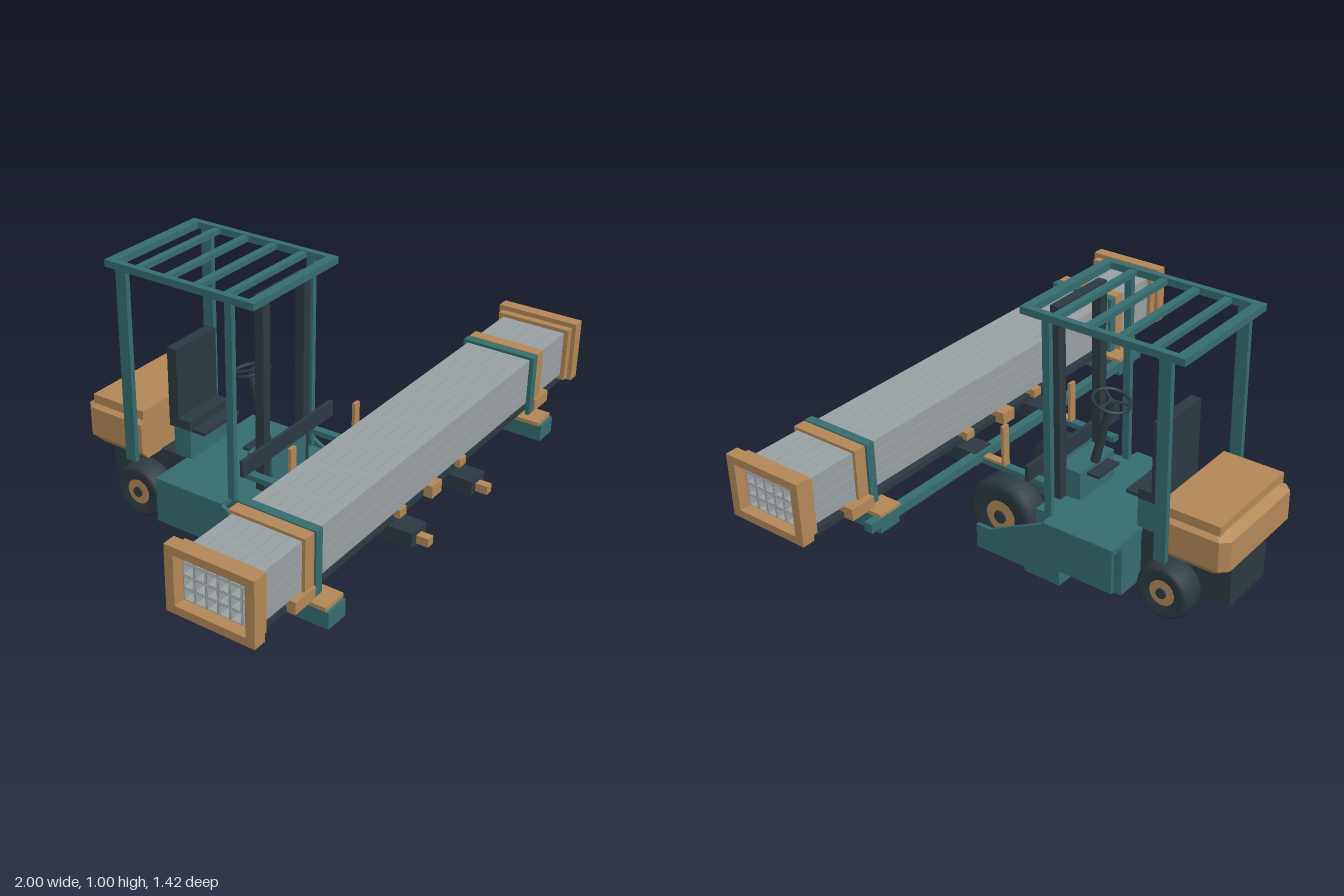
import * as THREE from 'three';
import { ConvexGeometry } from 'three/addons/geometries/ConvexGeometry.js';

const mat = (name, color) => Object.assign(new THREE.MeshStandardMaterial({ color }), { name });

export function createModel() {
  const teal = mat('tealPaint', 0x366d6f);
  const dark = mat('darkMetal', 0x2c3a41);
  const wood = mat('ochre', 0xb38858);
  const steel = mat('tubeGrey', 0x9aa1a2);
  const root = new THREE.Group();
  root.name = 'forkliftWithTubeBundle';

  const add = (name, geo, material, parent = root) => {
    const m = new THREE.Mesh(geo, material);
    m.name = name;
    parent.add(m);
    return m;
  };
  // box given by its extents on each axis
  const box = (name, material, x0, x1, y0, y1, z0, z1, parent = root) => {
    const m = add(name, new THREE.BoxGeometry(x1 - x0, y1 - y0, z1 - z0), material, parent);
    m.position.set((x0 + x1) / 2, (y0 + y1) / 2, (z0 + z1) / 2);
    return m;
  };
  // same box on both sides of the model
  const pair = (name, material, x0, x1, ...rest) => {
    box(name + 'Left', material, x0, x1, ...rest);
    box(name + 'Right', material, -x1, -x0, ...rest);
  };
  const rect = (C, w, h) => {
    const p = new C();
    p.moveTo(-w / 2, -h / 2);
    p.lineTo(w / 2, -h / 2);
    p.lineTo(w / 2, h / 2);
    p.lineTo(-w / 2, h / 2);
    p.closePath();
    return p;
  };
  // (z, y) outline extruded along x, centred
  const extrudeX = (shape, width) =>
    new THREE.ExtrudeGeometry(shape, { depth: width, bevelEnabled: false })
      .rotateY(-Math.PI / 2).translate(width / 2, 0, 0);
  // rectangular ring or tube running along x
  const ring = (w, h, iw, ih, length) => {
    const s = rect(THREE.Shape, w, h);
    s.holes.push(rect(THREE.Path, iw, ih));
    return extrudeX(s, length);
  };

  // wheels
  const wheel = (name, side, z, r, rim, width) => {
    const g = new THREE.Group();
    g.name = name;
    const h = width / 2;
    const profile = [[rim, -h + 0.008], [r * 0.8, -h], [r * 0.93, -h + 0.006], [r, -h + 0.022],
      [r, h - 0.022], [r * 0.93, h - 0.006], [r * 0.8, h], [rim, h - 0.008]]
      .map(([a, b]) => new THREE.Vector2(a, b));
    add('tyre', new THREE.LatheGeometry(profile, 32), dark, g);
    add('rim', new THREE.CylinderGeometry(rim, rim, width - 0.014, 24), wood, g);
    add('hub', new THREE.CylinderGeometry(rim * 0.4, rim * 0.4, width, 16), dark, g);
    g.rotation.z = -Math.PI / 2;
    g.position.set(side * 0.168, r + 0.004, z);
    root.add(g);
  };
  for (const s of [1, -1]) {
    wheel('frontWheel', s, 0.195, 0.142, 0.062, 0.11);
    wheel('rearWheel', s, -0.475, 0.104, 0.048, 0.1);
  }

  // body, fender plates and chassis
  const side = new THREE.Shape([[0.25, 0.037], [0.25, 0.13], [0.19, 0.13], [-0.05, 0.25],
    [-0.325, 0.25], [-0.325, 0.08], [-0.11, 0.08], [-0.11, 0.037]]
    .map(([a, b]) => new THREE.Vector2(a, b)));
  for (const s of [1, -1]) add('fenderPlate', extrudeX(side, 0.014), teal).position.x = s * 0.276;
  box('deck', teal, -0.282, 0.282, 0.232, 0.252, -0.328, -0.04);
  box('centreBody', teal, -0.225, 0.225, 0.04, 0.25, -0.325, 0.03);
  pair('lowerStep', teal, 0.2, 0.282, 0.02, 0.055, -0.11, 0.04);
  box('bellyPan', teal, -0.2, 0.2, 0.017, 0.04, -0.055, 0.04);
  box('frontHull', dark, -0.1, 0.1, 0.018, 0.215, 0.02, 0.24);
  box('frontAxle', dark, -0.16, 0.16, 0.12, 0.17, 0.17, 0.22);
  box('rearChassis', dark, -0.11, 0.11, 0.08, 0.25, -0.675, -0.32);
  box('rearAxle', dark, -0.16, 0.16, 0.09, 0.13, -0.5, -0.45);
  box('dashCowl', teal, -0.1, 0.1, 0.25, 0.36, -0.065, 0.03);

  // counterweight, chamfered at the back and sides
  const points = [];
  for (const [y, inset] of [[0.245, 0.03], [0.28, 0], [0.39, 0], [0.412, 0.03]])
    for (const s of [1, -1])
      for (const [x, z] of [[0.213 - inset, -0.445], [0.213 - inset, -0.68 + inset], [0.185 - inset, -0.71 + inset]])
        points.push(new THREE.Vector3(s * x, y, z));
  add('counterweight', new ConvexGeometry(points), wood);
  box('counterweightCap', wood, -0.2, 0.2, 0.405, 0.44, -0.675, -0.445);

  // seat
  box('seatPedestal', teal, -0.11, 0.11, 0.25, 0.365, -0.38, -0.308);
  box('seatCushion', dark, -0.11, 0.11, 0.362, 0.4, -0.4, -0.308);
  box('seatBack', dark, -0.11, 0.11, 0.4, 0.668, -0.4, -0.36);
  box('seatLip', dark, -0.1, 0.1, 0.358, 0.37, -0.31, -0.253);

  // steering column and wheel
  const lower = new THREE.Vector3(0, 0.36, -0.055), upper = new THREE.Vector3(0, 0.617, -0.122);
  const axis = upper.clone().sub(lower);
  const steering = new THREE.Group();
  steering.name = 'steering';
  steering.position.copy(upper);
  steering.quaternion.setFromUnitVectors(new THREE.Vector3(0, 1, 0), axis.clone().normalize());
  add('column', new THREE.CylinderGeometry(0.013, 0.017, axis.length(), 12), dark, steering)
    .position.y = -axis.length() / 2;
  add('steeringRim', new THREE.TorusGeometry(0.066, 0.006, 8, 28).rotateX(Math.PI / 2), dark, steering);
  for (let i = 0; i < 3; i++) {
    const a = i * Math.PI * 2 / 3;
    const spoke = add('spoke', new THREE.BoxGeometry(0.066, 0.006, 0.01), dark, steering);
    spoke.position.set(Math.cos(a) * 0.033, 0, -Math.sin(a) * 0.033);
    spoke.rotation.y = a;
  }
  root.add(steering);
  box('controlLever', dark, -0.06, 0.06, 0.335, 0.345, -0.115, -0.06);

  // mast and carriage
  pair('mastPost', dark, 0.097, 0.133, 0.22, 0.975, -0.005, 0.03);
  box('mastTop', dark, -0.133, 0.133, 0.96, 0.975, -0.005, 0.03);
  box('carriageBar', dark, -0.265, 0.265, 0.375, 0.435, 0.028, 0.042);
  box('carriagePlate', teal, -0.1, 0.1, 0.26, 0.375, 0.028, 0.04);

  // overhead guard
  pair('frontGuardPost', teal, 0.218, 0.238, 0.25, 0.976, -0.045, -0.017);
  pair('rearGuardPost', teal, 0.218, 0.238, 0.25, 0.976, -0.5, -0.456);
  pair('roofRail', teal, 0.214, 0.238, 0.975, 1, -0.547, 0.07);
  box('roofFront', teal, -0.238, 0.238, 0.975, 1, 0.036, 0.07);
  box('roofBack', teal, -0.238, 0.238, 0.975, 1, -0.547, -0.51);
  for (const z of [-0.055, -0.178, -0.3, -0.422])
    box('roofSlat', teal, -0.22, 0.22, 0.978, 0.997, z - 0.013, z + 0.013);

  // forks and wide load spreader
  pair('forkArm', teal, 0.175, 0.205, 0.33, 0.35, -0.01, 0.3);
  pair('forkSleeve', dark, 0.147, 0.233, 0.325, 0.378, 0.285, 0.67);
  pair('forkTip', wood, 0.175, 0.205, 0.33, 0.36, 0.66, 0.713);
  pair('forkHeel', wood, 0.175, 0.205, 0.35, 0.36, 0.18, 0.285);
  pair('forkUpright', wood, 0.175, 0.205, 0.35, 0.505, 0.18, 0.192);
  box('spreaderBar', teal, -0.76, 0.76, 0.343, 0.376, 0.272, 0.305);
  pair('supportArm', teal, 0.625, 0.713, 0.315, 0.373, 0.28, 0.683);
  pair('supportPad', wood, 0.62, 0.713, 0.373, 0.387, 0.276, 0.672);

  // rails and bearers under the load
  for (const z of [0.375, 0.575]) box('loadRail', dark, -0.965, 0.965, 0.386, 0.408, z - 0.015, z + 0.015);
  box('centreBearer', wood, -0.03, 0.03, 0.386, 0.43, 0.322, 0.622);
  pair('forkBearer', wood, 0.17, 0.21, 0.4, 0.43, 0.34, 0.61);
  pair('outerBearer', wood, 0.69, 0.79, 0.388, 0.43, 0.322, 0.622);

  // bundle of hollow square tubes, six wide and four high
  const cz = 0.48, cy = 0.515, pitchZ = 0.0412, pitchY = 0.0424;
  const tube = ring(0.0392, 0.0404, 0.033, 0.0342, 1.92);
  const bundle = new THREE.Group();
  bundle.name = 'tubeBundle';
  for (let i = 0; i < 6; i++)
    for (let j = 0; j < 4; j++)
      add('tube', tube, steel, bundle).position.set(0, cy + (j - 1.5) * pitchY, cz + (i - 2.5) * pitchZ);
  root.add(bundle);

  // end frames, bands and clamps around the bundle
  const around = (name, material, x, width, w, h, y) => {
    const geo = ring(w, h, 0.247, 0.17, width);
    for (const s of [1, -1]) add(name, geo, material).position.set(s * x, y, cz);
  };
  around('endFrame', wood, 0.977, 0.046, 0.31, 0.225, 0.517);
  around('innerEndFrame', wood, 0.94, 0.03, 0.28, 0.2, 0.512);
  around('band', wood, 0.712, 0.045, 0.27, 0.19, cy);
  around('clamp', teal, 0.668, 0.032, 0.276, 0.19, cy);
  pair('clampFront', teal, 0.652, 0.684, 0.375, 0.61, 0.604, 0.618);
  pair('clampBack', teal, 0.652, 0.684, 0.375, 0.61, 0.342, 0.356);

  return root;
}
